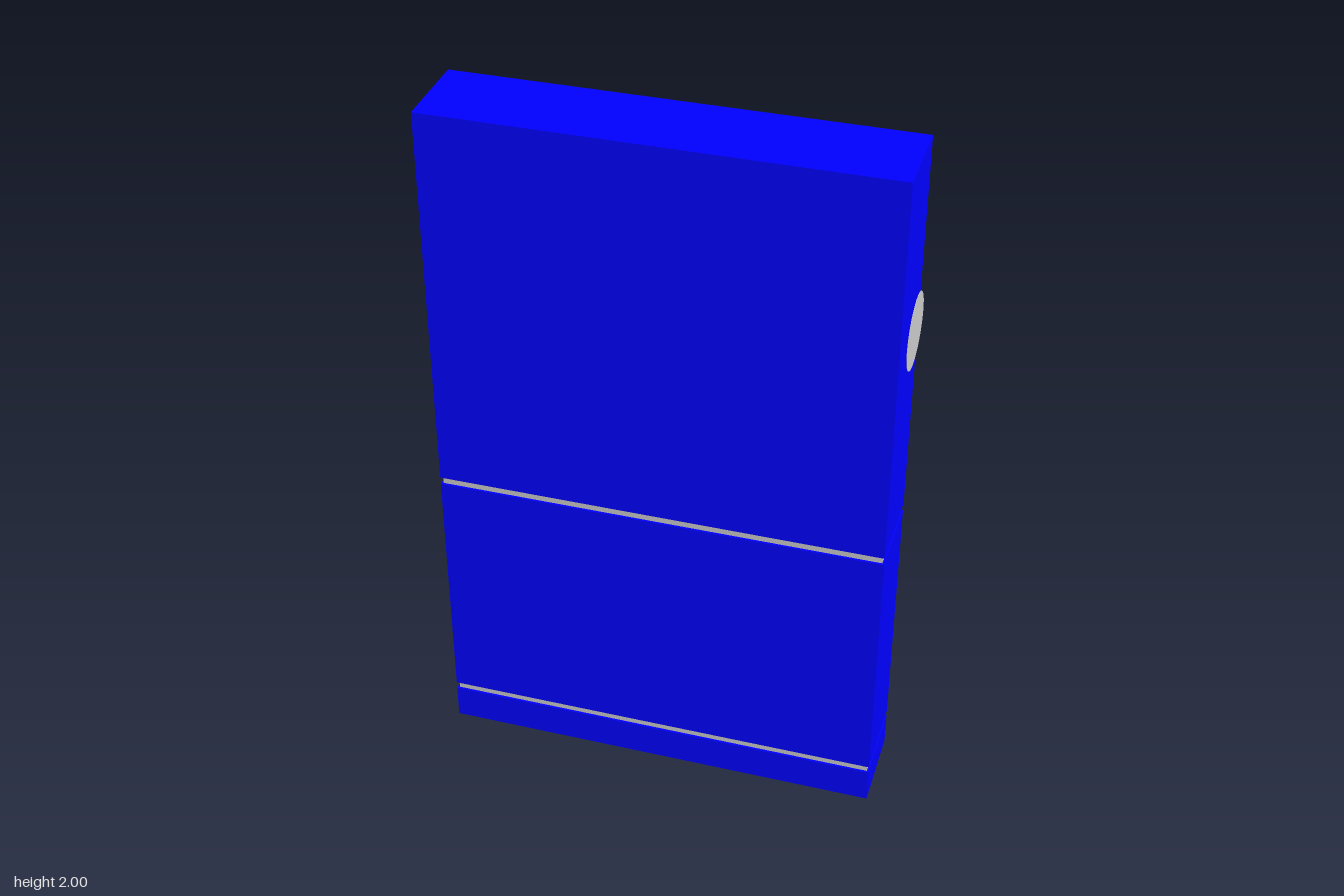
import * as THREE from 'three';

const W = 0.625, FRONT = 0.155, BACK = -0.093, LAYER = -0.08, TAB = 0.018;

export function createModel() {
  const model = new THREE.Group();
  const blue = new THREE.MeshStandardMaterial({ color: 0x0000ff });
  const grey = new THREE.MeshStandardMaterial({ color: 0xcccccc });

  const add = (parent, geometry, material, name) => {
    const mesh = new THREE.Mesh(geometry, material);
    mesh.name = name;
    parent.add(mesh);
    return mesh;
  };
  const box = (w, y0, y1, z0, z1) =>
    new THREE.BoxGeometry(2 * w, y1 - y0, z1 - z0).translate(0, (y0 + y1) / 2, (z0 + z1) / 2);

  // An edge running from -x to +x, stepped by `shift` at the two tab positions
  const edge = (y, shift) => {
    const half = [[0.30, 0], [0.315, 1], [0.45, 1], [0.465, 0], [W, 0]];
    const right = half.map(([x, s]) => [x, y + s * shift]);
    const left = right.map(([x, v]) => [-x, v]).reverse();
    return [...left, ...right].map(([x, v]) => new THREE.Vector2(x, v));
  };

  // Panel: straight block plus a thin back skin whose edges interlock
  const panel = (name, y0, y1, shift0, shift1) => {
    const group = new THREE.Group();
    group.name = name;
    model.add(group);
    add(group, box(W, y0, y1, LAYER, FRONT), blue, name + 'Block');
    const outline = [...edge(y0, shift0), ...edge(y1, shift1).reverse()];
    const skin = new THREE.ExtrudeGeometry(new THREE.Shape(outline),
      { depth: LAYER - BACK, bevelEnabled: false }).translate(0, 0, BACK);
    add(group, skin, blue, name + 'BackSkin');
  };
  panel('bottomPanel', 0, 0.102, 0, TAB);
  panel('middlePanel', 0.124, 0.861, TAB, -TAB);
  panel('topPanel', 0.883, 2, -TAB, 0);

  // Grey cores showing in the gaps between panels
  add(model, box(W - 0.006, 0.07, 0.155, LAYER - 0.002, 0.148), grey, 'lowerGapCore');
  add(model, box(W - 0.006, 0.83, 0.915, LAYER - 0.002, 0.148), grey, 'upperGapCore');

  // Roller half sunk into the back, with two grooves
  const roller = new THREE.Group();
  roller.name = 'roller';
  roller.position.set(0, 1.464, -0.053);
  model.add(roller);
  const rod = (x0, x1, r, name) => add(roller,
    new THREE.CylinderGeometry(r, r, x1 - x0, 64).rotateZ(Math.PI / 2).translate((x0 + x1) / 2, 0, 0),
    grey, name);
  rod(-0.333, 0.333, 0.104, 'rollerMiddle');
  for (const s of [-1, 1]) {
    const span = (a, b) => (s > 0 ? [a, b] : [-b, -a]);
    rod(...span(0.33, 0.38), 0.093, 'rollerGroove');
    rod(...span(0.377, W + 0.001), 0.104, 'rollerEnd');
  }
  return model;
}
